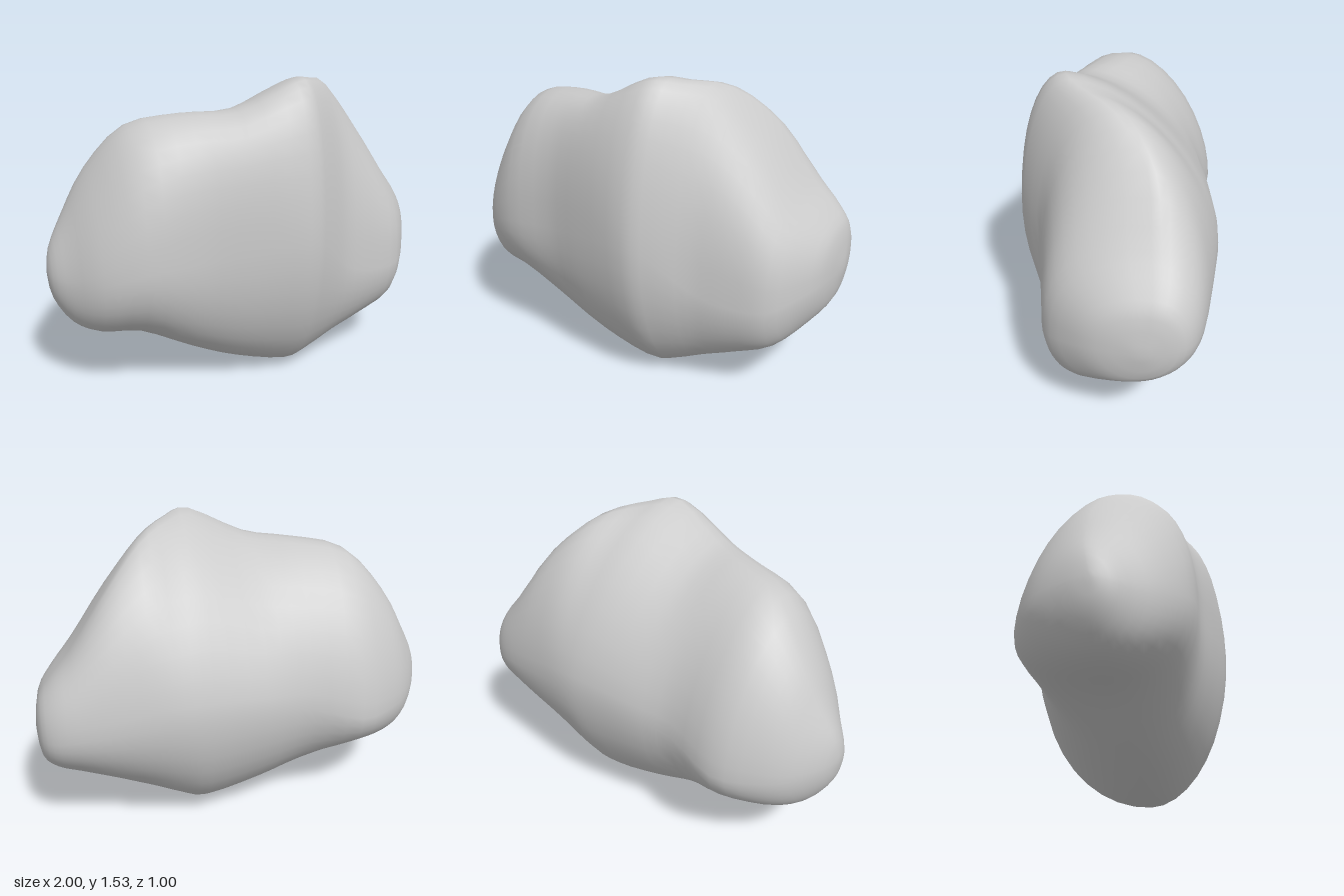
import * as THREE from 'three';
import { mergeVertices } from 'three/addons/utils/BufferGeometryUtils.js';

// Cross-sections from one end to the other:
// [x, bottom y, bottom z, top y, top z, front z, front y, back z, back y]
const SECTIONS = [
  [-1.00, 0.64, 0.02, 0.64, 0.02, 0.02, 0.64, 0.02, 0.64],
  [-0.98, 0.51, 0.02, 0.76, 0.00, 0.10, 0.62, -0.08, 0.63],
  [-0.90, 0.38, 0.02, 0.92, -0.02, 0.20, 0.61, -0.22, 0.61],
  [-0.78, 0.32, 0.02, 1.13, -0.02, 0.32, 0.65, -0.33, 0.60],
  [-0.59, 0.30, 0.03, 1.33, 0.04, 0.40, 0.71, -0.42, 0.60],
  [-0.33, 0.17, 0.06, 1.38, 0.11, 0.405, 0.73, -0.40, 0.67],
  [-0.10, 0.075, 0.07, 1.40, 0.20, 0.45, 0.76, -0.45, 0.70],
  [0.17, 0.00, 0.07, 1.525, 0.24, 0.49, 0.78, -0.495, 0.71],
  [0.30, 0.035, 0.08, 1.515, 0.16, 0.435, 0.72, -0.505, 0.71],
  [0.45, 0.11, 0.09, 1.465, -0.03, 0.35, 0.58, -0.50, 0.70],
  [0.62, 0.19, 0.10, 1.29, -0.19, 0.305, 0.52, -0.49, 0.68],
  [0.80, 0.28, 0.10, 1.03, -0.23, 0.25, 0.52, -0.475, 0.66],
  [0.91, 0.37, -0.06, 0.90, -0.25, 0.12, 0.57, -0.44, 0.64],
  [0.975, 0.46, -0.18, 0.80, -0.25, -0.02, 0.61, -0.37, 0.64],
  [1.00, 0.62, -0.22, 0.62, -0.22, -0.22, 0.62, -0.22, 0.62],
];
const STEPS = 3; // rings per section
const SIDES = 40; // points per ring

// Smooth interpolation of the section table
function sectionAt(t) {
  const last = SECTIONS.length - 1;
  const i = Math.min(Math.floor(t), last - 1);
  const f = t - i;
  const row = (k) => SECTIONS[THREE.MathUtils.clamp(k, 0, last)];
  const [a, b, c, d] = [row(i - 1), row(i), row(i + 1), row(i + 2)];
  return b.map((p, k) => {
    const m0 = (c[k] - a[k]) / 2;
    const m1 = (d[k] - p) / 2;
    const e = c[k] - p;
    return p + f * (m0 + f * (3 * e - 2 * m0 - m1 + f * (m0 + m1 - 2 * e)));
  });
}

// Fullness of a quadrant: steep front wall, softer under the peak and at the
// -x end, and an upper back that slopes except at the blunt +x end
function fullness(x, up, front) {
  const ramp = (from, to) => THREE.MathUtils.smoothstep(x, from, to);
  if (!up) return front ? 2.1 - 0.15 * ramp(-0.2, 0.2) : 1.97;
  if (!front) return 1.7 + 0.5 * ramp(0.55, 0.9);
  return 1.75 + 0.75 * ramp(-0.9, -0.35) - 0.55 * ramp(-0.1, 0.2) + 0.45 * ramp(0.3, 0.7);
}

// One ring point: four superellipse quadrants joined at the extremes
function ringPoint([x, yb, zb, yt, zt, zf, yf, zk, yk], angle) {
  const c = Math.cos(angle);
  const s = Math.sin(angle);
  const up = s >= 0;
  const front = c >= 0;
  const power = 2 / fullness(x, up, front);
  const z0 = up ? zt : zb;
  const y0 = front ? yf : yk;
  const z = z0 + ((front ? zf : zk) - z0) * Math.abs(c) ** power;
  const y = y0 + ((up ? yt : yb) - y0) * Math.abs(s) ** power;
  return [x, y, z];
}

export function createModel() {
  const positions = [];
  const indices = [];
  const rings = (SECTIONS.length - 1) * STEPS;
  for (let i = 0; i <= rings; i++) {
    const section = sectionAt(i / STEPS);
    for (let j = 0; j < SIDES; j++) {
      positions.push(...ringPoint(section, (j / SIDES) * Math.PI * 2));
      if (i === rings) continue;
      const a = i * SIDES + j;
      const b = i * SIDES + ((j + 1) % SIDES);
      if (i > 0) indices.push(a, a + SIDES, b);
      if (i < rings - 1) indices.push(b, a + SIDES, b + SIDES);
    }
  }

  // Weld the end points so the shading stays smooth
  let geometry = new THREE.BufferGeometry();
  geometry.setAttribute('position', new THREE.Float32BufferAttribute(positions, 3));
  geometry.setIndex(indices);
  geometry = mergeVertices(geometry, 1e-4);
  geometry.computeVertexNormals();

  const rock = new THREE.Mesh(geometry, new THREE.MeshStandardMaterial({ color: 0xcccccc }));
  rock.name = 'rock';
  const group = new THREE.Group();
  group.name = 'boulder';
  group.add(rock);
  return group;
}
